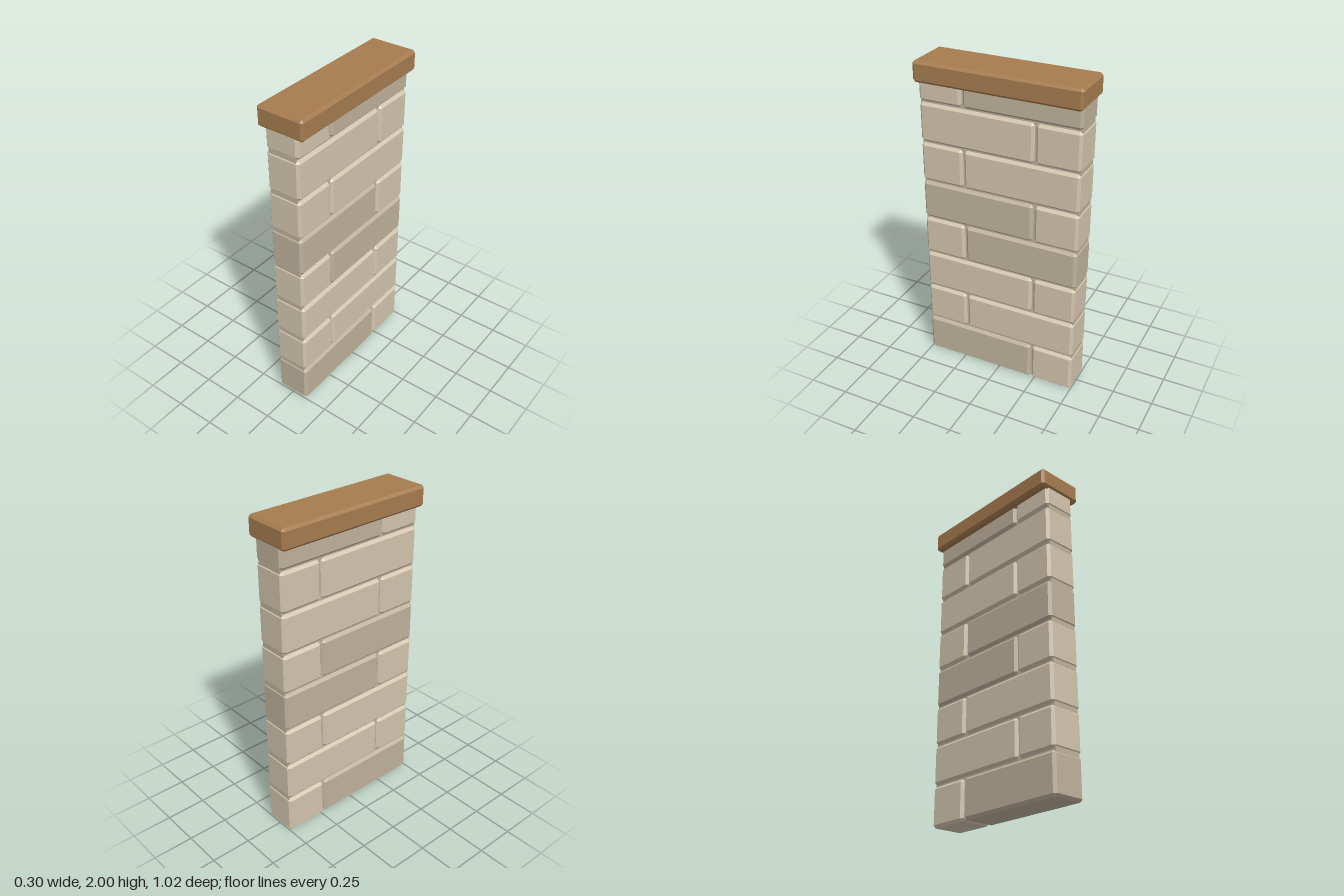
import * as THREE from 'three';
import { ConvexGeometry } from 'three/addons/geometries/ConvexGeometry.js';

// Box with every edge chamfered by c
function chamferBox(w, h, d, c) {
  const points = [];
  for (const sx of [-1, 1]) for (const sy of [-1, 1]) for (const sz of [-1, 1]) {
    const [x, y, z] = [w / 2, h / 2, d / 2];
    points.push(
      new THREE.Vector3(sx * x, sy * (y - c), sz * (z - c)),
      new THREE.Vector3(sx * (x - c), sy * y, sz * (z - c)),
      new THREE.Vector3(sx * (x - c), sy * (y - c), sz * z),
    );
  }
  return new ConvexGeometry(points);
}

export function createModel() {
  const model = new THREE.Group();
  const material = (color) => new THREE.MeshStandardMaterial({ color, flatShading: true });
  const lightStone = material(0xd3c5ae);
  const darkStone = material(0xbfb29c);
  const wood = material(0xa67c4f);

  const add = (name, geometry, mat, y, z, parent = model) => {
    const mesh = new THREE.Mesh(geometry, mat);
    mesh.name = name;
    mesh.position.set(0, y, z);
    parent.add(mesh);
  };

  // Mortar core, set back behind the brick faces
  add('mortar', new THREE.BoxGeometry(0.18, 1.87, 0.99), darkStone, 0.955, 0);

  // Eight courses; the long and short bricks swap ends on each course
  const bricks = new THREE.Group();
  bricks.name = 'bricks';
  model.add(bricks);
  const darkCourses = [0, 3, 4, 7];
  for (let i = 0; i < 8; i++) {
    const side = i % 2 === 0 ? 1 : -1;
    const bottom = i === 0 ? 0 : i * 0.25 + 0.005;
    const top = i === 7 ? 1.92 : i * 0.25 + 0.245;
    const brick = (name, z0, z1, mat) => add(name,
      chamferBox(0.216, top - bottom, z1 - z0, 0.016), mat,
      (top + bottom) / 2, side * (z0 + z1) / 2, bricks);
    brick('longBrick', -0.22, 0.5, darkCourses.includes(i) ? darkStone : lightStone);
    brick('shortBrick', -0.5, -0.23, lightStone);
  }

  // Wooden coping
  add('cap', chamferBox(0.3, 0.125, 1.02, 0.015), wood, 1.9375, 0);

  return model;
}
